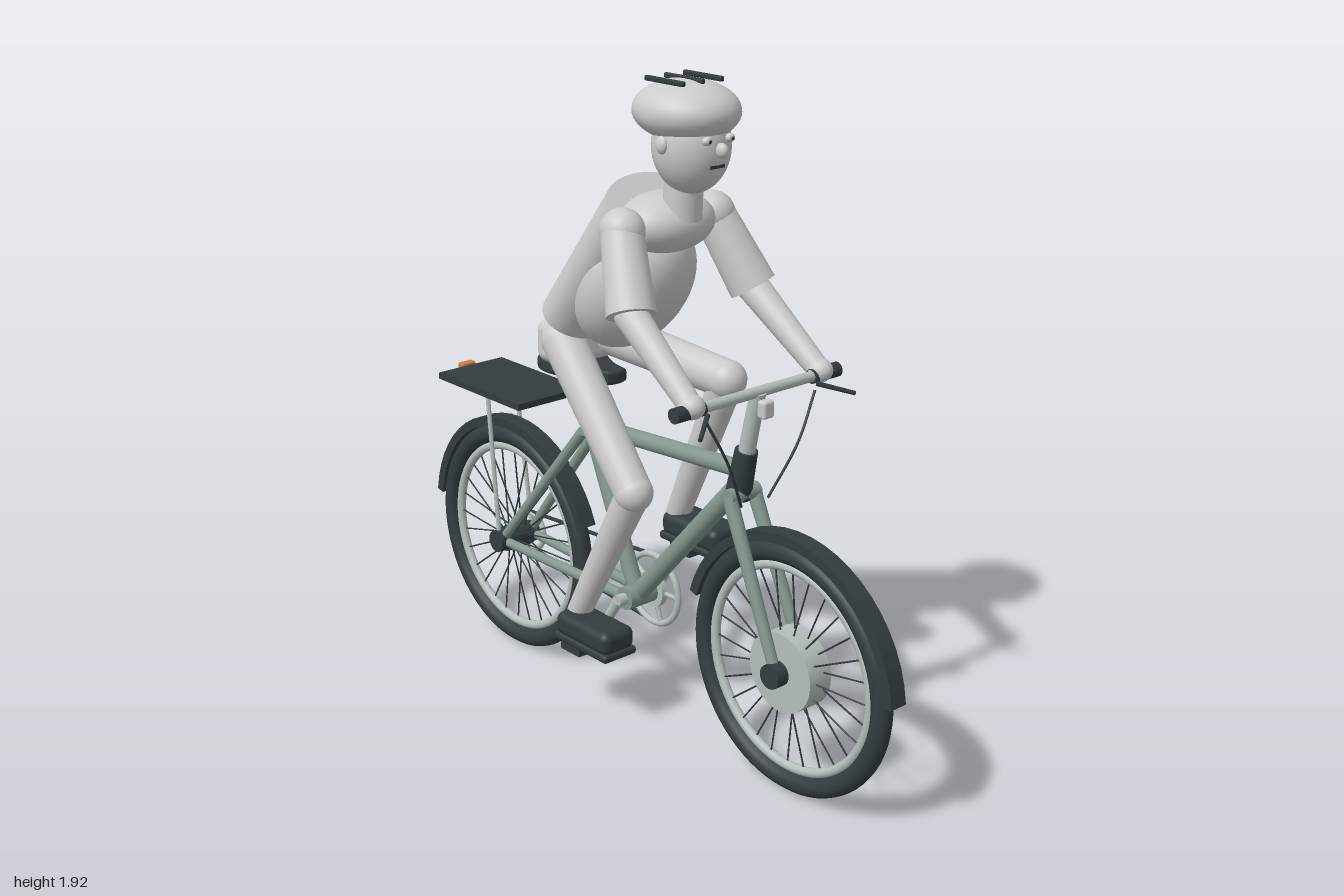
import * as THREE from 'three';
import { RoundedBoxGeometry } from 'three/addons/geometries/RoundedBoxGeometry.js';

const mat = (color) => new THREE.MeshStandardMaterial({ color });
const grey = mat(0xcccccc), green = mat(0x82978e), dark = mat(0x333c3e), metal = mat(0xb4beba), orange = mat(0xd27a35);
const V = (p) => new THREE.Vector3(...p);

function add(parent, name, geo, material, pos = [0, 0, 0], scale = [1, 1, 1]) {
  const m = new THREE.Mesh(geo, material);
  m.name = name;
  m.position.set(...pos);
  m.scale.set(...scale);
  parent.add(m);
  return m;
}
// Tapered round bar from a to b
function rod(parent, name, a, b, ra, rb, material, seg = 20) {
  const d = V(b).sub(V(a));
  const m = add(parent, name, new THREE.CylinderGeometry(rb, ra, d.length(), seg), material);
  m.position.copy(V(a).addScaledVector(d, 0.5));
  m.quaternion.setFromUnitVectors(new THREE.Vector3(0, 1, 0), d.normalize());
  return m;
}
const ball = (parent, name, pos, radii, material) =>
  add(parent, name, new THREE.SphereGeometry(1, 36, 24), material, pos, radii);
const box = (parent, name, pos, size, material) =>
  add(parent, name, new THREE.BoxGeometry(...size), material, pos);
const rounded = (parent, name, pos, size, r, material) =>
  add(parent, name, new RoundedBoxGeometry(...size, 4, r), material, pos);
// Ring lying in the wheel plane
const ring = (parent, name, r, tube, material, pos) => {
  const m = add(parent, name, new THREE.TorusGeometry(r, tube, 14, 72), material, pos);
  m.rotation.y = Math.PI / 2;
  return m;
};

const FRONT = [0, 0.37, 0.605], REAR = [0, 0.37, -0.62], CRANK = [0, 0.37, -0.03];

function makeWheel(name, center, hubR, hubW, fenderFrom, fenderTo) {
  const w = new THREE.Group();
  w.name = name;
  w.position.set(...center);
  ring(w, 'tyre', 0.335, 0.03, dark);
  ring(w, 'rim', 0.295, 0.014, metal);
  for (let i = 0; i < 28; i++) {
    const a = (i / 28) * Math.PI * 2, s = i % 2 ? 1 : -1;
    rod(w, 'spoke', [s * 0.022, Math.sin(a) * 0.03, Math.cos(a) * 0.03],
      [0, Math.sin(a) * 0.29, Math.cos(a) * 0.29], 0.0025, 0.0025, dark, 6);
  }
  rod(w, 'hub', [-hubW, 0, 0], [hubW, 0, 0], hubR, hubR, hubR > 0.1 ? metal : dark, 40);
  rod(w, 'axle', [-0.08, 0, 0], [0.08, 0, 0], 0.035, 0.035, dark);
  // Mudguard made of short overlapping plates
  const n = 22, step = (fenderTo - fenderFrom) / n;
  for (let i = 0; i < n; i++) {
    const a = THREE.MathUtils.degToRad(fenderFrom + (i + 0.5) * step);
    const p = box(w, 'mudguardPlate', [0, Math.sin(a) * 0.378, Math.cos(a) * 0.378], [0.054, 0.054, 0.028], dark);
    p.rotation.x = -a;
  }
  return w;
}

function makeBike() {
  const g = new THREE.Group();
  g.name = 'bicycle';
  g.add(makeWheel('frontWheel', FRONT, 0.115, 0.04, 6, 163));
  g.add(makeWheel('rearWheel', REAR, 0.04, 0.045, 22, 172));

  // Frame
  const seatTop = [0, 0.85, -0.24];
  rod(g, 'topTube', [0, 0.89, 0.4], [0, 0.845, -0.24], 0.025, 0.025, green);
  rod(g, 'downTube', [0, 0.85, 0.4], CRANK, 0.028, 0.028, green);
  rod(g, 'seatTube', CRANK, seatTop, 0.025, 0.025, green);
  rod(g, 'seatPost', [0, 0.82, -0.23], [0, 1.02, -0.265], 0.018, 0.018, metal);
  rod(g, 'headTube', [0, 0.81, 0.39], [0, 0.95, 0.42], 0.037, 0.032, dark);
  rod(g, 'stem', [0, 0.92, 0.415], [0, 1.125, 0.46], 0.024, 0.022, metal);
  rod(g, 'bottomBracket', [-0.05, 0.37, -0.03], [0.05, 0.37, -0.03], 0.035, 0.035, green);
  rod(g, 'forkCrown', [-0.055, 0.82, 0.405], [0.055, 0.82, 0.405], 0.024, 0.024, green);
  for (const s of [-1, 1]) {
    rod(g, 'forkLeg', [s * 0.045, 0.82, 0.405], [s * 0.055, 0.37, 0.605], 0.021, 0.016, green);
    rod(g, 'seatStay', [s * 0.03, 0.83, -0.24], [s * 0.055, 0.37, -0.62], 0.017, 0.014, green);
    rod(g, 'chainStay', [s * 0.035, 0.37, -0.03], [s * 0.055, 0.37, -0.62], 0.017, 0.014, green);
    rod(g, 'rackStay', [s * 0.055, 0.87, -0.68], [s * 0.065, 0.37, -0.62], 0.007, 0.007, metal, 10);
    // Controls
    rod(g, 'grip', [s * 0.2, 1.125, 0.46], [s * 0.3, 1.125, 0.46], 0.021, 0.021, dark);
    rod(g, 'brakeLever', [s * 0.2, 1.11, 0.48], [s * 0.285, 1.08, 0.545], 0.007, 0.006, dark, 10);
    const cable = new THREE.CatmullRomCurve3([[s * 0.2, 1.09, 0.475], [s * 0.13, 0.96, 0.485], [s * 0.05, 0.81, 0.455]].map(V));
    add(g, 'brakeCable', new THREE.TubeGeometry(cable, 16, 0.004, 6), dark);
    // Crank arm and pedal, opposite on each side
    rod(g, 'crankArm', [s * 0.075, 0.37, -0.03], [s * 0.085, 0.37 + s * 0.15, -0.03 + s * 0.09], 0.016, 0.013, metal);
    rod(g, 'pedalAxle', [s * 0.075, 0.37 + s * 0.15, -0.03 + s * 0.09], [s * 0.17, 0.37 + s * 0.15, -0.03 + s * 0.09], 0.009, 0.009, metal);
    box(g, 'pedal', [s * 0.135, 0.37 + s * 0.15, -0.03 + s * 0.09], [0.1, 0.03, 0.085], dark);
  }
  rod(g, 'handlebar', [-0.29, 1.125, 0.46], [0.29, 1.125, 0.46], 0.015, 0.015, metal);
  rounded(g, 'headlight', [0, 1.085, 0.49], [0.04, 0.05, 0.03], 0.008, grey);

  // Drivetrain on the left side
  rod(g, 'crankSpindle', [-0.08, 0.37, -0.03], [0.08, 0.37, -0.03], 0.018, 0.018, metal);
  ring(g, 'chainring', 0.108, 0.01, metal, [0.065, 0.37, -0.03]);
  rod(g, 'motorDisc', [0.05, 0.37, -0.03], [0.07, 0.37, -0.03], 0.055, 0.055, metal, 32);
  for (let i = 0; i < 5; i++) {
    const a = (i / 5) * Math.PI * 2;
    rod(g, 'chainringArm', [0.065, 0.37, -0.03], [0.065, 0.37 + Math.sin(a) * 0.105, -0.03 + Math.cos(a) * 0.105], 0.009, 0.007, metal, 8);
  }
  ring(g, 'sprocket', 0.058, 0.009, metal, [0.065, 0.37, -0.62]);
  for (const s of [-1, 1])
    rod(g, 'chainRun', [0.065, 0.37 + s * 0.108, -0.03], [0.065, 0.37 + s * 0.063, -0.62], 0.006, 0.006, dark, 8);

  // Saddle
  const sh = new THREE.Shape();
  sh.moveTo(-0.025, 0.125);
  sh.quadraticCurveTo(0, 0.115, 0.025, 0.125);
  sh.bezierCurveTo(0.035, 0.23, 0.085, 0.25, 0.085, 0.33);
  sh.quadraticCurveTo(0.085, 0.39, 0.05, 0.39);
  sh.lineTo(-0.05, 0.39);
  sh.quadraticCurveTo(-0.085, 0.39, -0.085, 0.33);
  sh.bezierCurveTo(-0.085, 0.25, -0.035, 0.23, -0.025, 0.125);
  const saddle = new THREE.ExtrudeGeometry(sh, { depth: 0.022, bevelSize: 0.01, bevelThickness: 0.01, bevelSegments: 3, curveSegments: 12 });
  saddle.rotateX(-Math.PI / 2).scale(1, 1, 1);
  add(g, 'saddle', saddle, dark, [0, 1.012, 0]);

  // Carrier and rear lamp
  box(g, 'rackPlate', [0, 0.875, -0.635], [0.245, 0.02, 0.41], dark);
  rounded(g, 'rearLamp', [0, 0.868, -0.86], [0.052, 0.045, 0.028], 0.006, orange);
  return g;
}

function makeRider() {
  const g = new THREE.Group();
  g.name = 'rider';
  // Leaning torso with rounded front
  const torso = new THREE.Group();
  torso.name = 'torso';
  torso.position.set(0, 1.375, -0.105);
  torso.rotation.x = 0.7;
  g.add(torso);
  add(torso, 'back', new THREE.CylinderGeometry(0.165, 0.145, 0.485, 48), grey, [0, 0, 0], [1, 1, 0.67]);
  ball(torso, 'belly', [0, 0, 0.085], [0.16, 0.235, 0.145], grey);
  ball(g, 'chest', [0, 1.52, 0.09], [0.15, 0.085, 0.115], grey);
  rounded(g, 'pelvis', [0, 1.105, -0.29], [0.24, 0.13, 0.13], 0.035, grey);

  // Head and face
  rod(g, 'neck', [0, 1.54, 0.155], [0, 1.68, 0.165], 0.055, 0.052, grey, 28);
  ball(g, 'head', [0, 1.745, 0.19], [0.105, 0.132, 0.11], grey);
  ball(g, 'helmet', [0, 1.833, 0.17], [0.138, 0.083, 0.155], grey);
  ball(g, 'nose', [0, 1.745, 0.308], [0.015, 0.02, 0.02], grey);
  box(g, 'mouth', [0, 1.7, 0.288], [0.05, 0.009, 0.012], dark);
  for (const s of [-1, 1]) {
    ball(g, 'ear', [s * 0.104, 1.755, 0.19], [0.014, 0.024, 0.02], grey);
    ball(g, 'eye', [s * 0.04, 1.772, 0.295], [0.015, 0.012, 0.012], grey);
    ball(g, 'pupil', [s * 0.04, 1.772, 0.306], [0.005, 0.005, 0.004], dark);
  }
  for (const x of [-0.068, 0, 0.068])
    rounded(g, 'helmetRidge', [x, 1.914, 0.16], [0.014, 0.014, 0.15], 0.004, dark);

  for (const s of [-1, 1]) {
    // Arm
    const elbow = [s * 0.222, 1.32, 0.205], hand = [s * 0.235, 1.135, 0.455];
    ball(g, 'shoulder', [s * 0.163, 1.52, 0.1], [0.062, 0.062, 0.065], grey);
    rod(g, 'sleeve', [s * 0.163, 1.53, 0.095], elbow, 0.058, 0.068, grey, 28);
    ball(g, 'elbow', elbow, [0.046, 0.046, 0.046], grey);
    rod(g, 'forearm', elbow, hand, 0.046, 0.032, grey, 24);
    ball(g, 'hand', hand, [0.036, 0.034, 0.04], grey);

    // Leg: the left is raised, the right is extended
    const foot = s > 0 ? [0.135, 0.585, 0.1] : [-0.135, 0.285, -0.065];
    const hip = [s * 0.075, 1.115, -0.27];
    const knee = s > 0 ? [0.105, 1.08, 0.23] : [-0.112, 0.755, 0.085];
    const ankle = [s * 0.122, foot[1] + 0.02, foot[2] - 0.09];
    ball(g, 'hip', hip, [0.064, 0.064, 0.064], grey);
    rod(g, 'thigh', hip, knee, 0.064, 0.055, grey, 28);
    ball(g, 'knee', knee, [0.056, 0.056, 0.056], grey);
    rod(g, 'shin', knee, ankle, 0.05, 0.036, grey, 24);
    rounded(g, 'shoe', foot, [0.118, 0.072, 0.235], 0.025, dark);
    rounded(g, 'sole', [foot[0], foot[1] - 0.04, foot[2]], [0.122, 0.025, 0.24], 0.01, dark);
  }
  return g;
}

export function createModel() {
  const model = new THREE.Group();
  model.name = 'cyclist';
  model.add(makeBike(), makeRider());
  return model;
}
